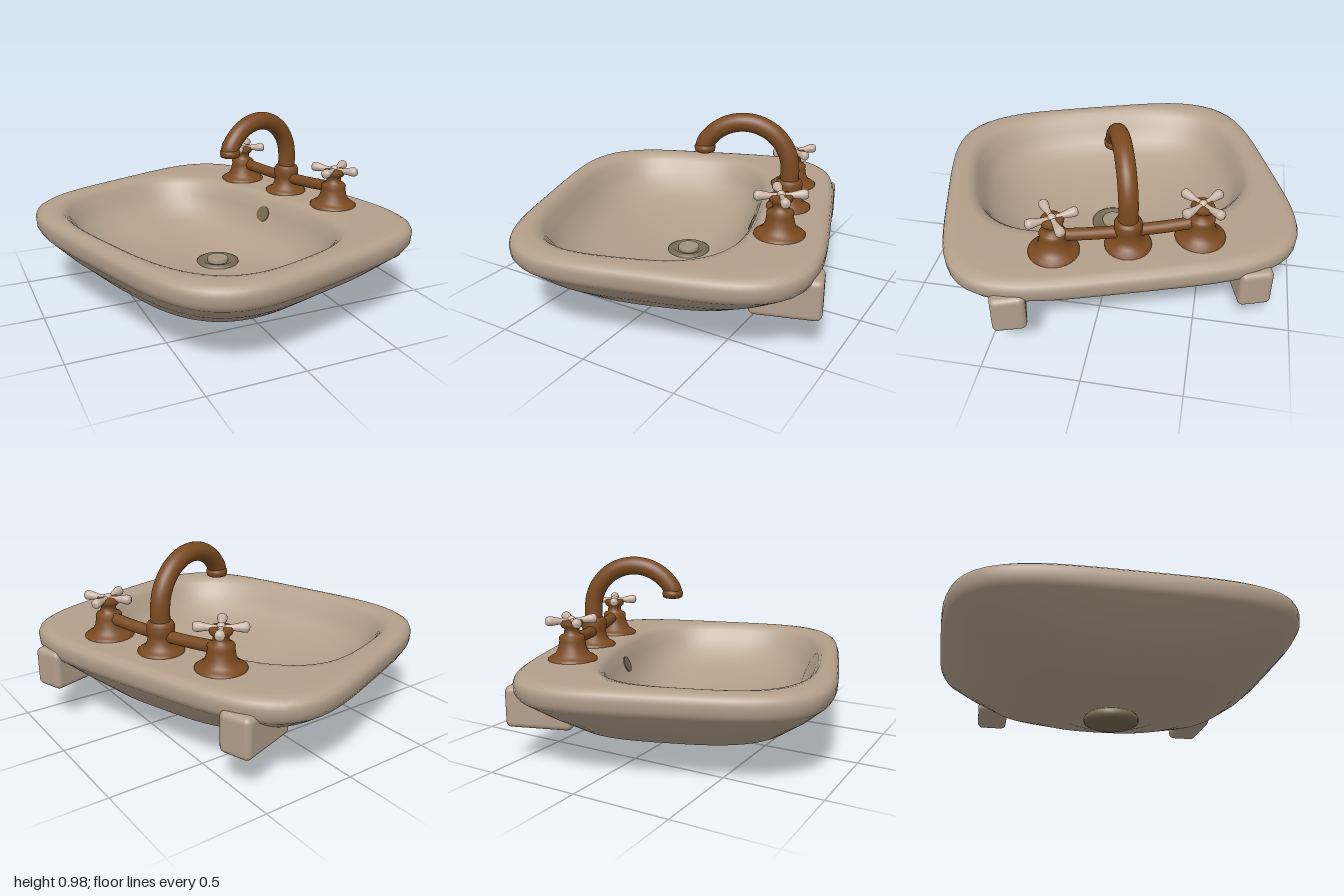
import * as THREE from 'three';
import { RoundedBoxGeometry } from 'three/addons/geometries/RoundedBoxGeometry.js';

const mat = (name, color) => {
  const m = new THREE.MeshStandardMaterial({ color });
  m.name = name;
  return m;
};

// Smooth shell through rounded-square rings: [y, front, back, halfWidth, squareness, taper]
function loft(rings, seg = 96) {
  const pos = [], idx = [];
  rings.forEach(([y, front, back, half, n, taper = 0]) => {
    for (let j = 0; j < seg; j++) {
      const t = (j / seg) * Math.PI * 2, c = Math.cos(t), s = Math.sin(t);
      const r = Math.pow(Math.abs(c) ** n + Math.abs(s) ** n, -1 / n);
      pos.push((front + back) / 2 + r * c * (back - front) / 2, y, r * s * half * (1 + taper * r * c));
    }
  });
  for (let i = 0; i < rings.length - 1; i++) {
    for (let j = 0; j < seg; j++) {
      const k = (j + 1) % seg, a = i * seg + j, b = i * seg + k, c = a + seg, d = b + seg;
      idx.push(a, c, b, b, c, d);
    }
  }
  const g = new THREE.BufferGeometry();
  g.setAttribute('position', new THREE.Float32BufferAttribute(pos, 3));
  g.setIndex(idx);
  g.computeVertexNormals();
  return g;
}

// Lathe from [radius, y] pairs listed bottom to top
const lathe = (pts, seg = 32) =>
  new THREE.LatheGeometry(pts.map(([r, y]) => new THREE.Vector2(r, y)), seg);

export function createModel() {
  const ceramic = mat('ceramic', 0xb39f8b);
  const bronze = mat('bronze', 0x7a4a20);
  const porcelain = mat('handle porcelain', 0xc9b5a5);
  const drainMetal = mat('drain metal', 0x766951);
  const stopperMetal = mat('stopper metal', 0xa0937c);

  const model = new THREE.Group();
  model.name = 'washbasin';
  const sink = new THREE.Group(); // +x is the tap side of the basin
  sink.name = 'sink';
  sink.rotation.y = 0.317;
  sink.position.set(0.008, 0, 0.013);
  model.add(sink);

  const add = (parent, name, geo, material, x = 0, y = 0, z = 0) => {
    const m = new THREE.Mesh(geo, material);
    m.name = name;
    m.position.set(x, y, z);
    parent.add(m);
    return m;
  };

  // Basin: underside, rounded rim, flat deck, bowl
  add(sink, 'basin', loft([
    [0.05, -0.03, -0.03, 0, 2],
    [0.05, -0.29, 0.23, 0.26, 2],
    [0.053, -0.3, 0.24, 0.27, 2],
    [0.092, -0.49, 0.4, 0.48, 2.5],
    [0.155, -0.635, 0.54, 0.65, 3.1, 0.015],
    [0.265, -0.75, 0.655, 0.8, 3.7, 0.025],
    [0.355, -0.828, 0.743, 0.895, 4.2, 0.035],
    [0.385, -0.842, 0.757, 0.912, 4.3, 0.035],
    [0.43, -0.845, 0.76, 0.915, 4.3, 0.035],
    [0.455, -0.837, 0.75, 0.907, 4.3, 0.035],
    [0.471, -0.818, 0.728, 0.886, 4.2, 0.035],
    [0.476, -0.795, 0.7, 0.858, 4.1, 0.035],
    [0.476, -0.775, 0.42, 0.805, 3.3],
    [0.468, -0.75, 0.388, 0.776, 3.1],
    [0.44, -0.725, 0.364, 0.752, 3],
    [0.38, -0.69, 0.34, 0.718, 3],
    [0.31, -0.645, 0.313, 0.67, 3],
    [0.25, -0.56, 0.262, 0.57, 2.8],
    [0.21, -0.43, 0.2, 0.45, 2.6],
    [0.182, -0.27, 0.12, 0.27, 2.2],
    [0.165, -0.13, 0.08, 0.105, 2],
    [0.165, -0.025, -0.025, 0, 2],
  ]), ceramic);

  // Wall brackets
  for (const side of [-1, 1]) {
    add(sink, 'wallBracket', new RoundedBoxGeometry(0.345, 0.21, 0.17, 4, 0.03), ceramic, 0.587, 0.295, side * 0.61);
  }

  // Drain: tailpiece, flange and stopper
  add(sink, 'drainTail', lathe([[0, 0], [0.125, 0], [0.143, 0.012], [0.145, 0.035], [0.13, 0.055], [0, 0.055]]), drainMetal, -0.025);
  add(sink, 'drainFlange', lathe([[0.117, 0.16], [0.117, 0.173], [0.102, 0.181], [0.085, 0.179], [0.072, 0.169], [0, 0.169]]), drainMetal, -0.025);
  add(sink, 'drainStopper', lathe([[0.058, 0.165], [0.06, 0.187], [0.052, 0.195], [0.035, 0.193], [0, 0.191]]), stopperMetal, -0.025);

  // Overflow plate on the back wall of the bowl
  const overflow = add(sink, 'overflow', new THREE.CylinderGeometry(0.045, 0.045, 0.009, 32), drainMetal, 0.333, 0.367, 0);
  overflow.rotation.z = Math.PI / 2 - 0.37;

  // Spout
  add(sink, 'spoutBase', lathe([
    [0.118, 0.47], [0.118, 0.484], [0.105, 0.492], [0.082, 0.505], [0.07, 0.53], [0.064, 0.56],
    [0.07, 0.575], [0.07, 0.615], [0.062, 0.63], [0.05, 0.635],
  ]), bronze, 0.525);
  const arch = [new THREE.Vector3(0.525, 0.6, 0), new THREE.Vector3(0.525, 0.64, 0)];
  for (let i = 0; i <= 10; i++) {
    const a = (i / 10) * THREE.MathUtils.degToRad(150);
    arch.push(new THREE.Vector3(0.28 + 0.245 * Math.cos(a), 0.685 + 0.245 * Math.sin(a), 0));
  }
  arch.push(new THREE.Vector3(0.063, 0.785, 0));
  add(sink, 'spout', new THREE.TubeGeometry(new THREE.CatmullRomCurve3(arch), 64, 0.049, 24), bronze);
  add(sink, 'spoutTip', lathe([[0, 0.765], [0.042, 0.757], [0.052, 0.762], [0.056, 0.778], [0.056, 0.79], [0.046, 0.804], [0, 0.81]]), bronze, 0.066);

  // Bridge pipe joining the taps
  const bridge = new THREE.CatmullRomCurve3([-0.36, -0.18, 0, 0.18, 0.36].map(
    (z) => new THREE.Vector3(0.522, 0.56 + 0.13 * z * z, z)));
  add(sink, 'bridgePipe', new THREE.TubeGeometry(bridge, 32, 0.031, 20), bronze);

  // Taps with four-armed handles
  for (const side of [-1, 1]) {
    const tap = new THREE.Group();
    tap.name = side < 0 ? 'tapA' : 'tapB';
    tap.position.set(0.518, 0, side * 0.368);
    sink.add(tap);
    add(tap, 'tapBody', lathe([
      [0.128, 0.47], [0.128, 0.482], [0.115, 0.492], [0.09, 0.505], [0.074, 0.535], [0.066, 0.575],
      [0.068, 0.592], [0.06, 0.602], [0.042, 0.61], [0.038, 0.635], [0.054, 0.65], [0.06, 0.668], [0.052, 0.683], [0, 0.686],
    ]), bronze);

    const handle = new THREE.Group();
    handle.name = 'crossHandle';
    handle.position.y = 0.676;
    handle.rotation.y = THREE.MathUtils.degToRad(side < 0 ? -56 : 16);
    tap.add(handle);
    add(handle, 'handleCap', new THREE.SphereGeometry(0.022, 20, 12), porcelain, 0, 0.006, 0);
    for (let i = 0; i < 4; i++) {
      const pivot = new THREE.Group();
      pivot.name = 'handleArm';
      pivot.rotation.y = i * Math.PI / 2;
      handle.add(pivot);
      const arm = add(pivot, 'arm', lathe([
        [0.014, 0], [0.015, 0.05], [0.019, 0.075], [0.025, 0.105], [0.025, 0.122], [0.017, 0.132], [0, 0.135],
      ], 16), porcelain);
      arm.rotation.z = -Math.PI / 2 + 0.05;
    }
  }
  return model;
}
